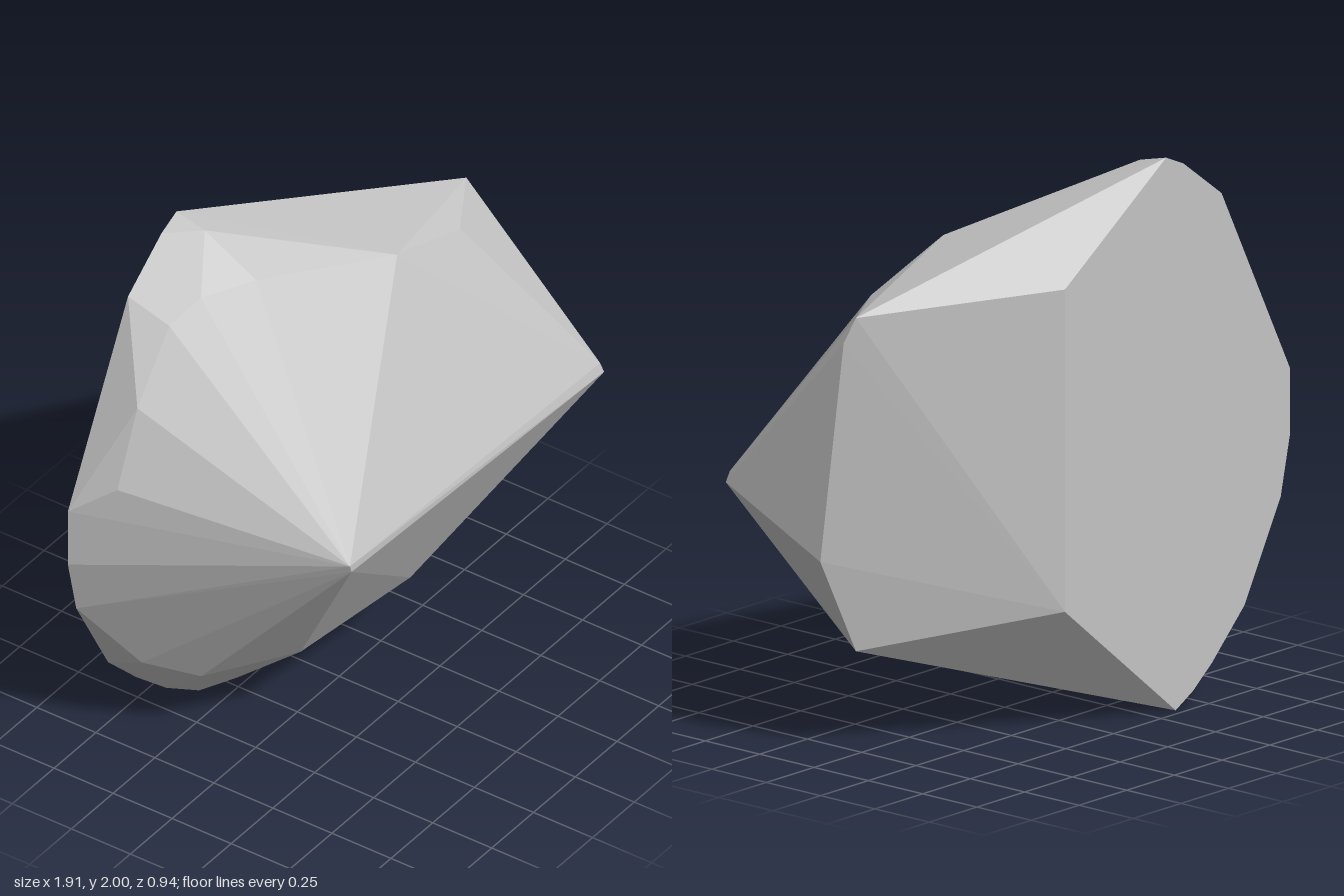
import * as THREE from 'three';
import { ConvexGeometry } from 'three/addons/geometries/ConvexGeometry.js';

// Faceted boulder: the convex hull of a few corner points
export function createModel() {
  const group = new THREE.Group();
  const stone = new THREE.MeshStandardMaterial({ color: 0xc4c4c4 });
  stone.name = 'pale stone grey';

  // Front ridge, with slightly chipped ends
  const ridge = [
    [-0.6, 1.05, 0.47], [-0.59, 1.02, 0.47], [0.95, 0.93, 0.45], [0.94, 0.97, 0.44],
  ];
  // Upper slope
  const upper = [
    [0.22, 1.73, 0.09], [0.61, 1.6, 0.08], [0.86, 1.6, -0.07], [0.89, 1.51, -0.04],
    [-0.3, 1.84, -0.14], [-0.46, 1.81, -0.26], [-0.31, 1.97, -0.35],
    [-0.58, 1.74, -0.31], [-0.77, 1.5, -0.31], [-0.89, 1.22, -0.31],
  ];
  // Lower slope
  const lower = [
    [0.2, 0.375, 0.16], [0.78, 0.37, 0], [0.91, 0.71, 0.05],
    [-0.33, 0.34, 0.07], [-0.6, 0.3, -0.16], [-0.73, 0.37, -0.32],
    [-0.33, 0.11, -0.2], [-0.39, 0.13, -0.22], [-0.54, 0.13, -0.35], [-0.4, 0.05, -0.31],
  ];
  // Outline of the flat back
  const back = [
    [-0.31, 2], [-0.4, 1.96], [-0.6, 1.81], [-0.96, 1.1], [-0.96, 0.87], [-0.91, 0.65],
    [-0.72, 0.3], [-0.55, 0.13], [-0.45, 0.05], [-0.36, 0], [0.22, 1.64], [0.22, 0.48],
  ].map(([x, y]) => [x, y, -0.47]);

  const points = [...ridge, ...upper, ...lower, ...back].map((p) => new THREE.Vector3(...p));
  const rock = new THREE.Mesh(new ConvexGeometry(points), stone);
  rock.name = 'rock';
  group.add(rock);
  return group;
}
